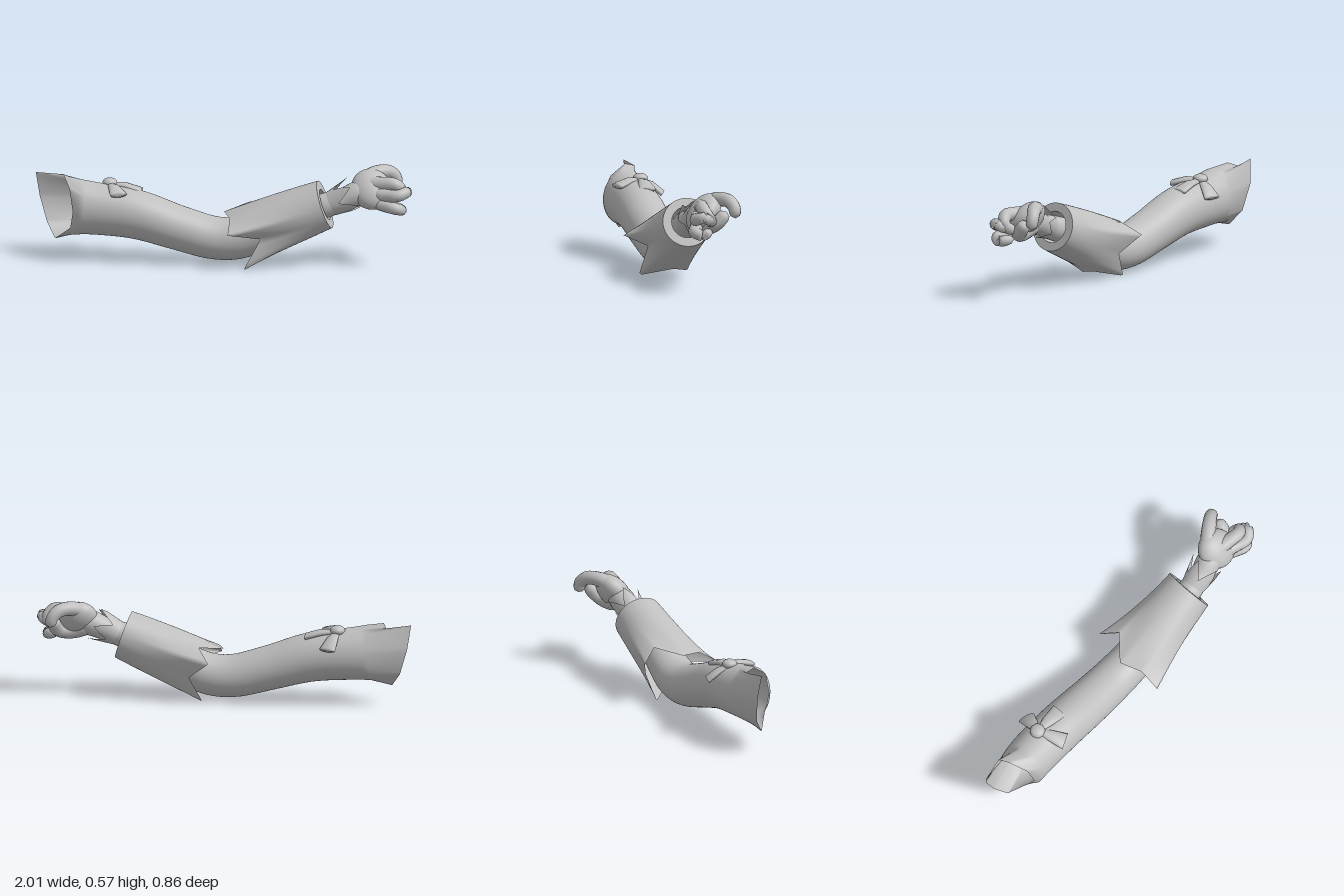
import * as THREE from 'three';

const V = (x, y, z) => new THREE.Vector3(x, y, z);
const cloth = new THREE.MeshStandardMaterial({ color: 0xbfbfbf, side: THREE.DoubleSide });
cloth.name = 'plain grey';

// Skin a list of closed rings of points
function loft(name, rings) {
  const n = rings[0].length, pos = [], idx = [];
  rings.forEach(r => r.forEach(p => pos.push(p.x, p.y, p.z)));
  for (let i = 0; i < rings.length - 1; i++) {
    for (let j = 0; j < n; j++) {
      const k = (j + 1) % n, a = i * n, b = a + n;
      idx.push(a + j, a + k, b + j, a + k, b + k, b + j);
    }
  }
  const g = new THREE.BufferGeometry();
  g.setAttribute('position', new THREE.Float32BufferAttribute(pos, 3));
  g.setIndex(idx);
  g.computeVertexNormals();
  const m = new THREE.Mesh(g, cloth);
  m.name = name;
  return m;
}

// Elliptical ring round a centre, square to direction t; angle 0 is the side, 90 the top
function ring(c, t, up, rh, rv, n) {
  const s = t.clone().cross(up).normalize(), u = s.clone().cross(t).normalize();
  return Array.from({ length: n }, (_, j) => {
    const a = j / n * Math.PI * 2;
    return c.clone().addScaledVector(s, Math.cos(a) * rh).addScaledVector(u, Math.sin(a) * rv);
  });
}

// Uneven rim through keys of [angle, x, y, z], one full turn in rising order
function unevenRim(keys, n) {
  const last = keys[keys.length - 1][0];
  return Array.from({ length: n }, (_, j) => {
    let a = j * 360 / n;
    if (a > last) a -= 360;
    const k = Math.max(1, keys.findIndex(q => q[0] >= a));
    const [p, q] = [keys[k - 1], keys[k]];
    return V(p[1], p[2], p[3]).lerp(V(q[1], q[2], q[3]), (a - p[0]) / (q[0] - p[0]));
  });
}

// Rings along a smooth path; each station is [x, y, z, side radius, vertical radius]
function sweep(stations, steps, n, up) {
  const curve = new THREE.CatmullRomCurve3(stations.map(s => V(s[0], s[1], s[2])));
  const radii = new THREE.CatmullRomCurve3(stations.map(s => V(s[3], s[4] ?? s[3], 0)));
  return Array.from({ length: steps + 1 }, (_, i) => {
    const t = i / steps, r = radii.getPoint(t);
    return ring(curve.getPoint(t), curve.getTangent(t), up, r.x, r.y, n);
  });
}

// Rounded finger through joints
function finger(name, joints, r) {
  const curve = new THREE.CatmullRomCurve3(joints.map(p => V(...p)));
  const steps = 18, rings = [];
  for (let i = 0; i <= steps; i++) {
    const t = i / steps, end = Math.min(1, Math.min(t + 0.08, 1 - t) / 0.14);
    const rr = Math.max(0.0005, r * (1 - 0.3 * t) * Math.sqrt(1 - (1 - end) ** 2));
    rings.push(ring(curve.getPoint(t), curve.getTangent(t), V(0, 0, 1), rr, rr, 12));
  }
  return loft(name, rings);
}

export function createModel() {
  const model = new THREE.Group();
  model.name = 'sleevedArm';
  const Y = V(0, 1, 0);

  // Upper arm sleeve, running on under the forearm sleeve
  const armRings = sweep([
    [-0.875, 0.315, -0.31, 0.125, 0.17], [-0.7, 0.3, -0.262, 0.135, 0.15],
    [-0.47, 0.27, -0.18, 0.137, 0.14], [-0.25, 0.2, -0.1, 0.132, 0.127],
    [-0.05, 0.145, -0.03, 0.125, 0.122], [0.08, 0.15, 0.02, 0.12, 0.12],
    [0.22, 0.21, 0.075, 0.11, 0.11], [0.36, 0.28, 0.13, 0.09, 0.09]], 40, 72, Y);
  // Slanted shoulder opening, notched at the top and longer at the back
  const shoulder = unevenRim([
    [0, -0.84, 0.3, -0.195], [40, -0.85, 0.43, -0.235], [80, -0.86, 0.49, -0.34],
    [115, -0.86, 0.475, -0.405], [135, -1, 0.49, -0.425], [170, -0.975, 0.35, -0.435],
    [225, -0.94, 0.2, -0.4], [265, -0.91, 0.12, -0.33], [315, -0.845, 0.2, -0.235],
    [360, -0.84, 0.3, -0.195]], 72);
  model.add(loft('upperSleeve', [shoulder, ...armRings.slice(3)]));

  // Forearm sleeve: round at the cuff, flaring back into pointed lobes
  const n = 72, C = V(0.54, 0.36, 0.195), d = V(0.885, 0.32, 0.335).normalize();
  const cuff = ring(C, d, Y, 0.143, 0.14, n);
  const middle = ring(V(0.33, 0.27, 0.122), d, Y, 0.157, 0.16, n);
  const lobes = unevenRim([
    [-355, -0.04, 0.22, 0.235], [-310, 0.0, 0.29, 0.125], [-265, 0.0, 0.3, -0.01],
    [-220, 0.16, 0.33, -0.08], [-195, 0.13, 0.26, -0.19], [-160, 0.22, 0.16, -0.085],
    [-123, 0.14, 0.015, -0.08], [-88, 0.22, 0.045, 0.07], [-52, 0.06, 0.0, 0.2],
    [-25, 0.16, 0.18, 0.205], [5, -0.04, 0.22, 0.235]], n);
  const forearm = [];
  for (let i = 0; i <= 16; i++) {
    const t = i / 16;
    forearm.push(lobes.map((p, j) => p.clone().multiplyScalar((1 - t) ** 2)
      .addScaledVector(middle[j], 2 * t * (1 - t)).addScaledVector(cuff[j], t * t)));
  }
  model.add(loft('forearmSleeve', forearm));

  // Flat cuff edge and the hollow behind it
  const inner = ring(C, d, Y, 0.092, 0.09, n);
  model.add(loft('cuffEdge', [cuff, inner]));
  const back = C.clone().addScaledVector(d, -0.16);
  model.add(loft('cuffLining', [inner, ring(back, d, Y, 0.08, 0.08, n), ring(back, d, Y, 0.001, 0.001, n)]));

  // Wrist, with a jagged frill lying along it
  model.add(loft('wrist', sweep([[0.42, 0.31, 0.15, 0.075], [0.54, 0.355, 0.2, 0.072],
    [0.63, 0.385, 0.225, 0.064], [0.72, 0.425, 0.245, 0.072], [0.8, 0.45, 0.26, 0.05]], 14, 24, Y)));
  const w = V(0.57, 0.365, 0.21), wd = V(0.88, 0.42, 0.22).normalize();
  const frillEnd = ring(w, wd, Y, 0.098, 0.1, 20).map((p, j) => {
    const tip = [0, 0.5, 1, 0.5][j % 4];
    return p.lerp(w, 0.22 * (1 - tip)).addScaledVector(wd, 0.05 + 0.1 * tip);
  });
  model.add(loft('wristFrill', [ring(w, wd, Y, 0.07, 0.07, 20), frillEnd]));

  // Loosely clenched hand
  const hand = new THREE.Group();
  hand.name = 'hand';
  const palm = new THREE.Mesh(new THREE.SphereGeometry(1, 28, 18), cloth);
  palm.name = 'palm';
  palm.scale.set(0.115, 0.125, 0.075);
  palm.position.set(0.795, 0.45, 0.26);
  palm.rotation.set(-0.7, -0.15, 0.1);
  hand.add(palm);
  hand.add(finger('indexFinger', [[0.76, 0.49, 0.22], [0.83, 0.525, 0.195], [0.915, 0.525, 0.172], [0.96, 0.49, 0.162], [0.975, 0.43, 0.165]], 0.046));
  hand.add(finger('middleFinger', [[0.77, 0.48, 0.26], [0.85, 0.49, 0.31], [0.915, 0.488, 0.345], [0.955, 0.44, 0.33], [0.91, 0.4, 0.28]], 0.044));
  hand.add(finger('ringFinger', [[0.77, 0.44, 0.28], [0.86, 0.43, 0.35], [0.92, 0.435, 0.395], [0.975, 0.45, 0.375], [0.95, 0.41, 0.31]], 0.041));
  hand.add(finger('littleFinger', [[0.76, 0.41, 0.27], [0.84, 0.375, 0.34], [0.905, 0.36, 0.395], [0.945, 0.345, 0.37], [0.91, 0.36, 0.29]], 0.04));
  hand.add(finger('thumb', [[0.74, 0.41, 0.24], [0.82, 0.38, 0.27], [0.89, 0.385, 0.27], [0.93, 0.42, 0.24], [0.945, 0.47, 0.205]], 0.052));
  model.add(hand);

  // Three-petalled flower bow on the upper arm
  const bow = new THREE.Group();
  bow.name = 'bow';
  const knot = V(-0.605, 0.435, -0.27);
  const petals = [[-0.525, 0.355, -0.37], [-0.435, 0.4, -0.205], [-0.595, 0.41, -0.105]];
  petals.forEach(p => {
    const end = V(...p), t = end.clone().sub(knot).normalize();
    const mid = knot.clone().lerp(end, 0.5).add(V(0, 0.01, 0));
    bow.add(loft('bowPetal', [
      ring(knot, t, Y, 0.014, 0.012, 14), ring(mid, t, Y, 0.035, 0.019, 14),
      ring(end, t, Y, 0.05, 0.017, 14), ring(end, t, Y, 0.001, 0.001, 14)]));
  });
  const button = new THREE.Mesh(new THREE.SphereGeometry(0.043, 20, 12), cloth);
  button.name = 'bowKnot';
  button.scale.y = 0.65;
  button.position.copy(knot).add(V(0, 0.008, 0));
  bow.add(button);
  model.add(bow);

  return model;
}
